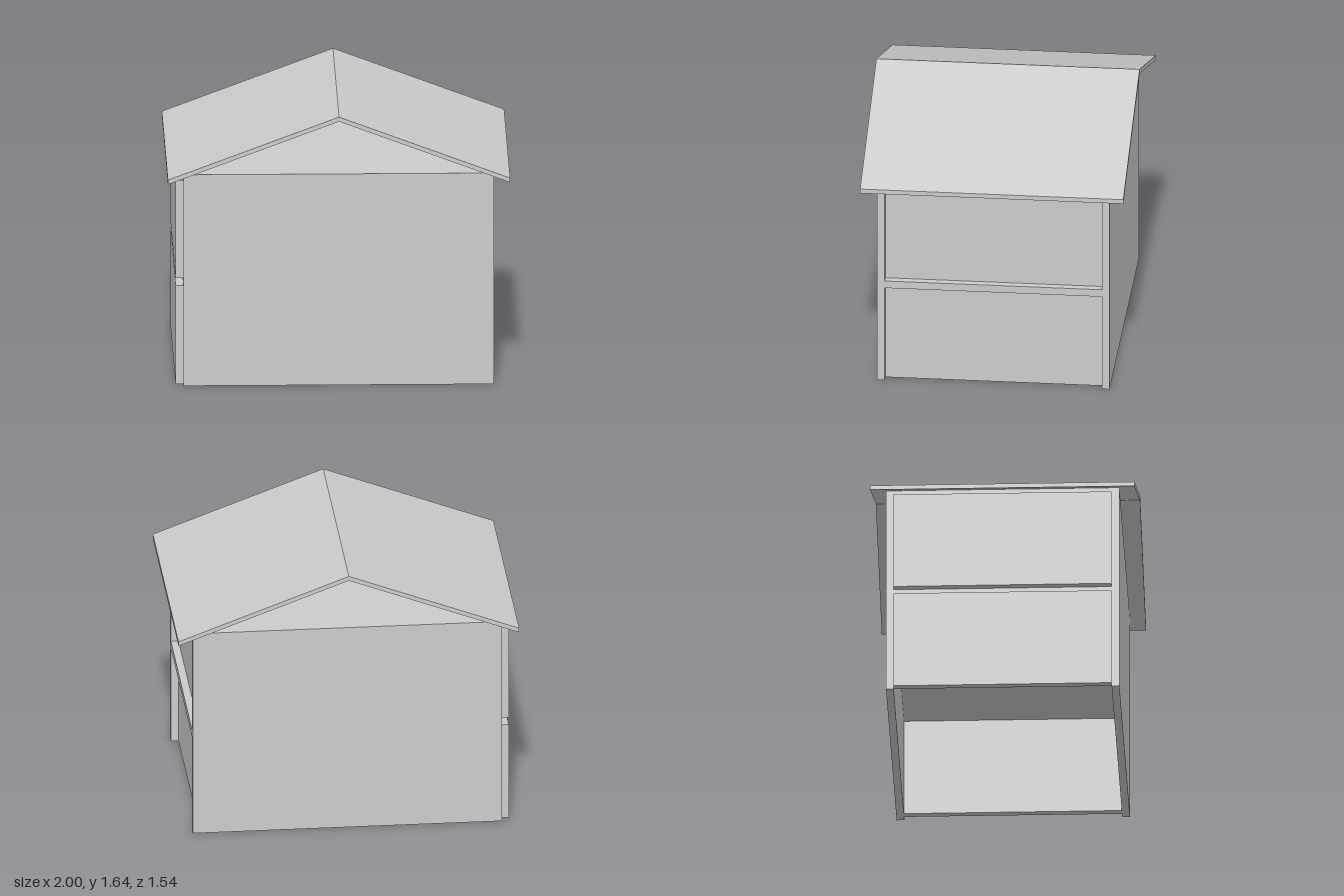
import * as THREE from 'three';

export function createModel() {
  const model = new THREE.Group();
  const lightGrey = new THREE.MeshStandardMaterial({ color: 0xcccccc });
  lightGrey.name = 'lightGrey';

  const T = 0.045;      // board thickness
  const X = 0.907;      // half length of the shell
  const Z = 0.682;      // half depth of the shell
  const TOP = 1.277;    // top of the shell
  const MID = 0.595;    // underside of the middle floor

  // Box given by its lower and upper corners
  function board(name, min, max) {
    const size = max.map((v, i) => v - min[i]);
    const mesh = new THREE.Mesh(new THREE.BoxGeometry(...size), lightGrey);
    mesh.position.set(...max.map((v, i) => (v + min[i]) / 2));
    mesh.name = name;
    model.add(mesh);
  }

  // Long walls
  board('frontWall', [-X, 0, Z - T], [X, TOP, Z]);
  board('backWall', [-X, 0, -Z], [X, TOP, -Z + T]);

  // Middle floor and ceiling; the underside of the house is open
  const inner = Z - T;
  board('middleFloor', [-X, MID, -inner], [X, MID + T, inner]);
  board('ceiling', [-X, TOP - T, -inner], [X, TOP, inner]);

  // End panels: recessed on the left end, standing proud on the right end
  for (const [storey, y0, y1] of [['lower', 0, MID], ['upper', MID + T, TOP - T]]) {
    board(storey + 'LeftPanel', [X - 2 * T, y0, -inner], [X - T, y1, inner]);
    board(storey + 'RightPanel', [-X - T, y0, -inner], [-X, y1, inner]);
  }

  // Thin gabled roof with open ends
  const profile = new THREE.Shape([
    [-1, 1.243], [0, 1.618], [1, 1.243], [1, 1.27], [0, 1.645], [-1, 1.27],
  ].map(([x, y]) => new THREE.Vector2(x, y)));
  const depth = 1.545;
  const roofGeometry = new THREE.ExtrudeGeometry(profile, { depth, bevelEnabled: false });
  roofGeometry.translate(0, 0, -depth / 2);
  const roof = new THREE.Mesh(roofGeometry, lightGrey);
  roof.name = 'roof';
  model.add(roof);

  return model;
}
